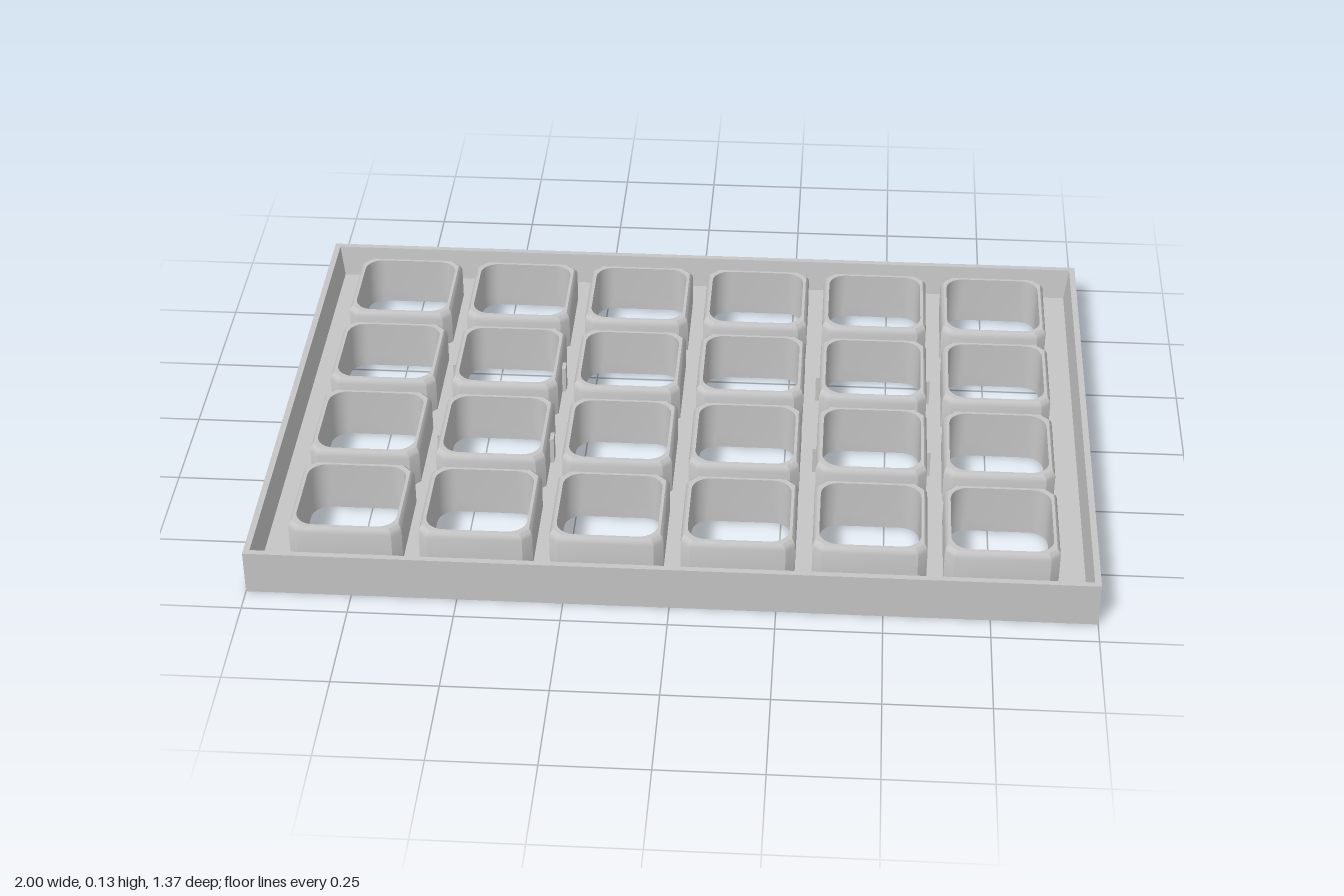
import * as THREE from 'three';
import { toCreasedNormals } from 'three/addons/utils/BufferGeometryUtils.js';

const W = 2, D = 1.374, FLOOR = 0.03, WALL_TOP = 0.112, CUP_TOP = 0.128;
const PITCH = 0.31, HOLE = 0.12, HOLE_R = 0.045, CUP = 0.135, CUP_CUT = 0.022;

// Closed [x, z] outline of a box with cut corners: arcs when round, straight chamfers otherwise
function outline(half, cut, round, n = 8) {
  const pts = [];
  for (let q = 0; q < 4; q++) {
    const sx = q === 0 || q === 3 ? 1 : -1, sz = q < 2 ? 1 : -1;
    for (let k = 0; k <= n; k++) {
      const t = k / n, a = (q + t) * Math.PI / 2;
      let dx = Math.abs(Math.cos(a)), dz = Math.abs(Math.sin(a));
      if (!round) {
        dx = q % 2 ? t : 1 - t;
        dz = 1 - dx;
      }
      pts.push([sx * (half - cut + cut * dx), sz * (half - cut + cut * dz)]);
    }
  }
  return pts;
}

// Skin through a list of [outline, height] rings
function loft(rings) {
  const pos = [];
  for (let j = 0; j < rings.length - 1; j++) {
    const [lo, y0] = rings[j], [hi, y1] = rings[j + 1];
    for (let i = 0; i < lo.length; i++) {
      const n = (i + 1) % lo.length;
      const a = [lo[i][0], y0, lo[i][1]], b = [lo[n][0], y0, lo[n][1]];
      const c = [hi[i][0], y1, hi[i][1]], d = [hi[n][0], y1, hi[n][1]];
      pos.push(...a, ...c, ...b, ...b, ...c, ...d);
    }
  }
  const g = new THREE.BufferGeometry();
  g.setAttribute('position', new THREE.Float32BufferAttribute(pos, 3));
  return toCreasedNormals(g, 0.5);
}

const rect = (inset) => [[1, 1], [-1, 1], [-1, -1], [1, -1]]
  .map(([x, z]) => [x * (W / 2 - inset), z * (D / 2 - inset)]);

export function createModel() {
  const group = new THREE.Group();
  const grey = new THREE.MeshStandardMaterial({ color: 0xc5c5c5 });
  grey.name = 'light grey plastic';
  const add = (name, geometry, x = 0, y = 0, z = 0) => {
    const mesh = new THREE.Mesh(geometry, grey);
    mesh.name = name;
    mesh.position.set(x, y, z);
    group.add(mesh);
  };

  const cells = [];
  for (let c = 0; c < 6; c++) {
    for (let r = 0; r < 4; r++) cells.push([(c - 2.5) * PITCH, (r - 1.5) * PITCH, c, r]);
  }
  const hole = outline(HOLE, HOLE_R, true);

  // Base plate pierced by one rounded opening per cell
  const plate = new THREE.Shape(rect(0).map(([x, z]) => new THREE.Vector2(x, z)));
  for (const [x, z] of cells) {
    plate.holes.push(new THREE.Path(hole.map(([px, pz]) => new THREE.Vector2(x + px, z + pz))));
  }
  const base = new THREE.ExtrudeGeometry(plate, { depth: FLOOR, bevelEnabled: false });
  base.rotateX(-Math.PI / 2);
  add('basePlate', toCreasedNormals(base, 0.5));

  // Outer wall, slightly thicker at its foot
  add('outerWall', loft([
    [rect(0), FLOOR], [rect(0), WALL_TOP], [rect(0.015), WALL_TOP], [rect(0.025), FLOOR],
  ]));

  // Open square cups with chamfered corners and a softened lip
  const side = (inset) => outline(CUP - inset, CUP_CUT, false);
  const cup = loft([
    [side(0), FLOOR], [side(0), WALL_TOP], [side(0.003), 0.122], [side(0.008), CUP_TOP],
    [hole, CUP_TOP], [hole, FLOOR],
  ]);
  const tab = new THREE.BoxGeometry(0.014, 0.07, 0.03);
  for (const [x, z, c, r] of cells) {
    add('cup', cup, x, 0, z);
    // Small locating tabs on the inner cups of the second and fifth columns
    if ((c === 1 || c === 4) && (r === 1 || r === 2)) {
      for (const s of [-1, 1]) add('locatingTab', tab, x + s * (CUP + 0.003), FLOOR + 0.035, z);
    }
  }
  return group;
}
